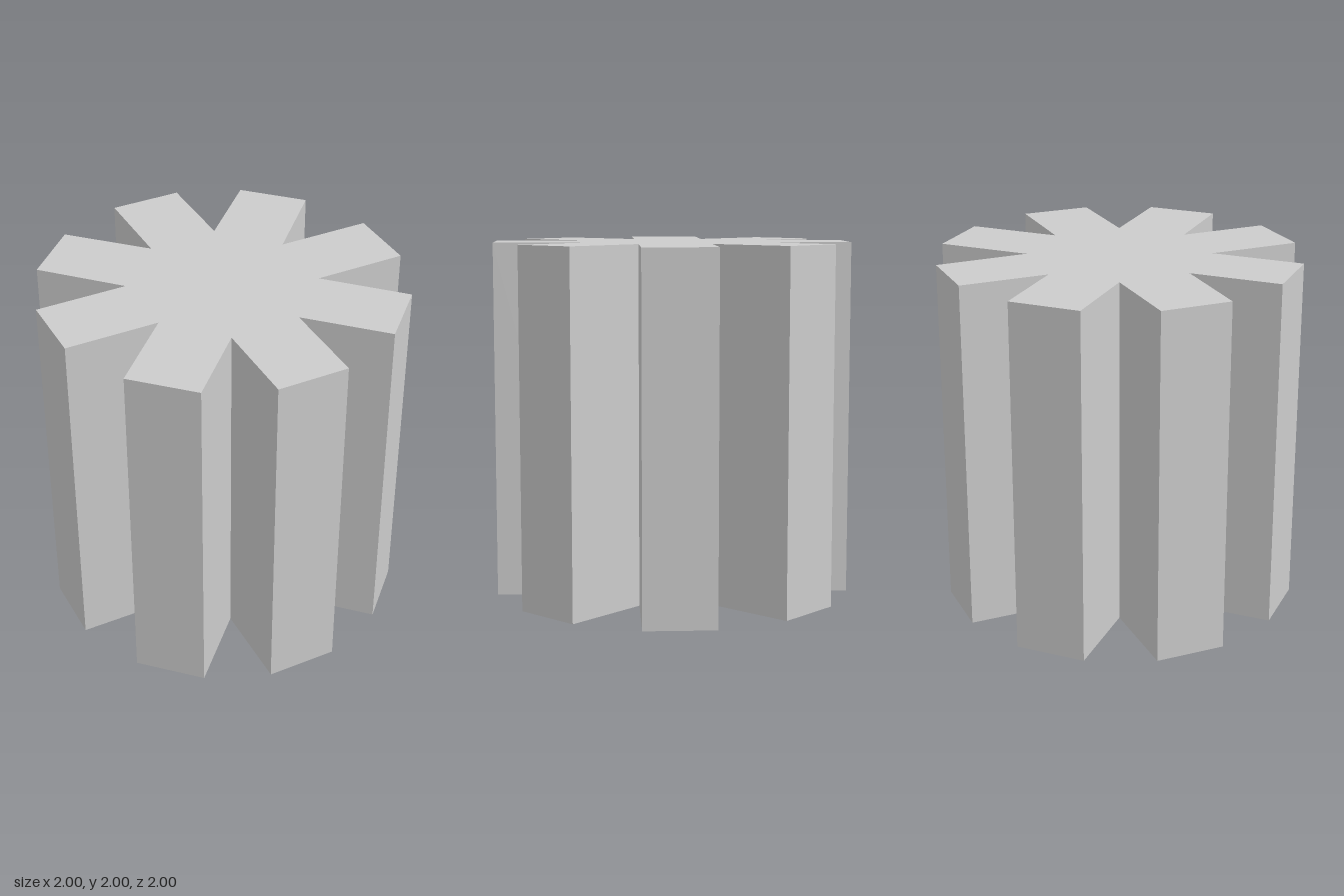
import * as THREE from 'three';

const HEIGHT = 2;
const ARM = 0.2; // half width of the straight arms

// Diagonal arms, counter-clockwise from the +x, back side: [inner, tip, tip, inner] as (x, -z)
const diagonals = [
  [[0.475, ARM], [0.835, 0.58], [0.55, 0.86], [ARM, 0.505]],
  [[-ARM, 0.49], [-0.57, 0.85], [-0.85, 0.57], [-0.485, ARM]],
  [[-0.475, -ARM], [-0.84, -0.575], [-0.55, -0.855], [-ARM, -0.495]],
  [[ARM, -0.485], [0.565, -0.845], [0.845, -0.565], [0.48, -ARM]],
];

// Eight-armed outline: each straight arm end is followed by a diagonal arm
function starOutline() {
  const points = [];
  diagonals.forEach((diagonal, i) => {
    const turn = (i * Math.PI) / 2;
    for (const side of [-ARM, ARM]) {
      points.push(new THREE.Vector2(1, side).rotateAround(new THREE.Vector2(), turn));
    }
    for (const [x, y] of diagonal) points.push(new THREE.Vector2(x, y));
  });
  return new THREE.Shape(points);
}

export function createModel() {
  const group = new THREE.Group();
  group.name = 'starPrism';

  // Upright extrusion standing on the ground
  const geometry = new THREE.ExtrudeGeometry(starOutline(), { depth: HEIGHT, bevelEnabled: false });
  geometry.rotateX(-Math.PI / 2);

  const material = new THREE.MeshStandardMaterial({ color: 0xcccccc, flatShading: true });
  const column = new THREE.Mesh(geometry, material);
  column.name = 'eightArmedColumn';
  group.add(column);
  return group;
}
